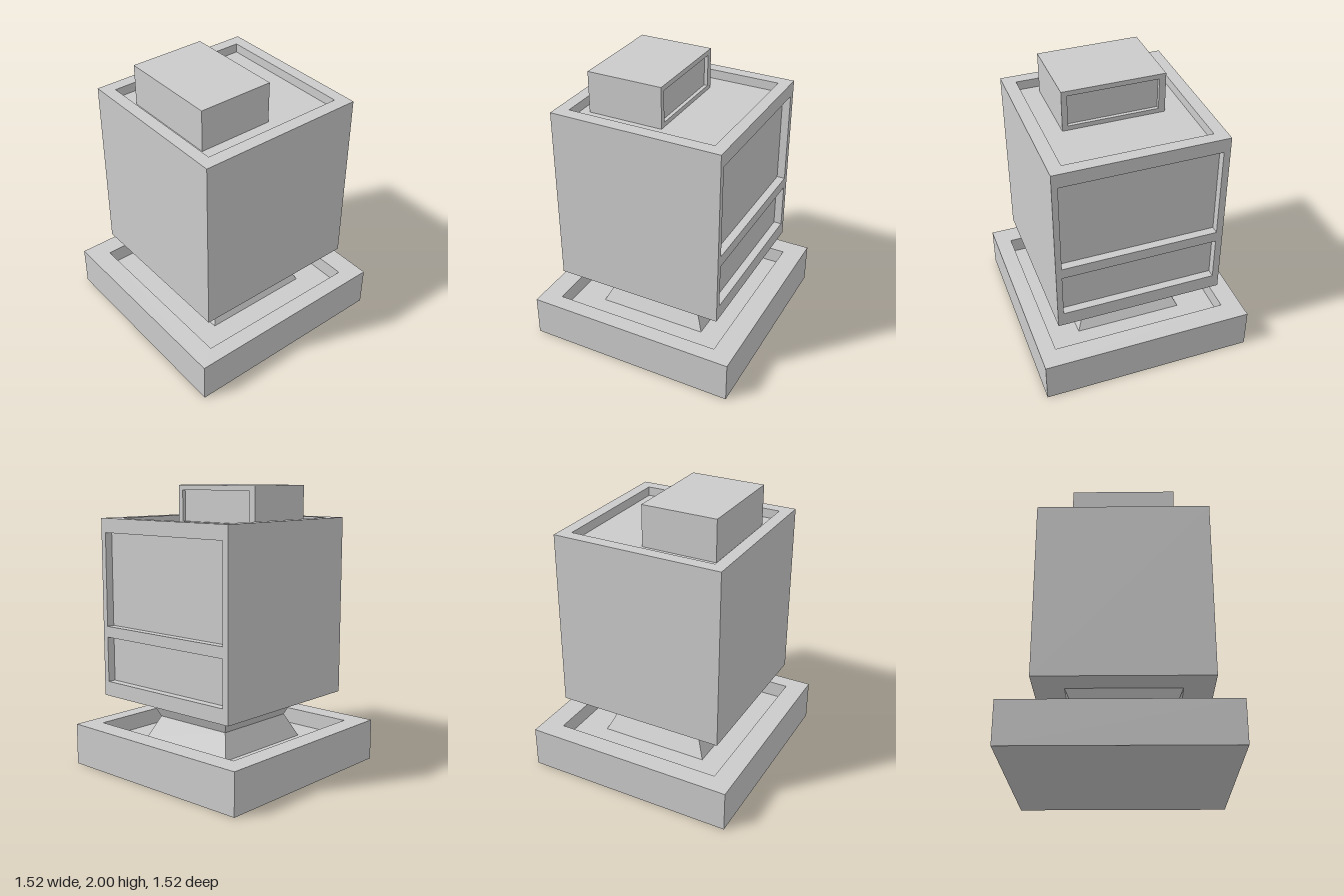
import * as THREE from 'three';
import { mergeGeometries } from 'three/addons/utils/BufferGeometryUtils.js';

const H = Math.PI / 2;
const material = new THREE.MeshStandardMaterial({ color: 0xcccccc, flatShading: true });

// Flat rectangle [u0, v0, u1, v1] at height w, with rectangular pockets [u0, v0, u1, v1, depth]
function pocketedFace([u0, v0, u1, v1], w, pockets = []) {
  const rect = (T, a, b, c, d) => new T([[a, b], [c, b], [c, d], [a, d]].map(p => new THREE.Vector2(...p)));
  const shape = rect(THREE.Shape, u0, v0, u1, v1);
  const parts = [];
  for (const [a, b, c, d, depth] of pockets) {
    shape.holes.push(rect(THREE.Path, a, b, c, d));
    const cu = (a + c) / 2, cv = (b + d) / 2, pw = c - a, ph = d - b, mid = -depth / 2;
    parts.push(
      new THREE.PlaneGeometry(pw, ph).translate(cu, cv, -depth),
      new THREE.PlaneGeometry(depth, ph).rotateY(H).translate(a, cv, mid),
      new THREE.PlaneGeometry(depth, ph).rotateY(-H).translate(c, cv, mid),
      new THREE.PlaneGeometry(pw, depth).rotateX(-H).translate(cu, b, mid),
      new THREE.PlaneGeometry(pw, depth).rotateX(H).translate(cu, d, mid)
    );
  }
  parts.push(new THREE.ShapeGeometry(shape));
  return mergeGeometries(parts).translate(0, 0, w);
}

// Block between two corners; pockets use (x, -z) on the top and (-z, y) on the +x side
function pocketedBlock(name, [x0, y0, z0], [x1, y1, z1], { top, side } = {}) {
  const geometry = mergeGeometries([
    pocketedFace([x0, y0, x1, y1], z1),
    pocketedFace([-x1, y0, -x0, y1], -z0).rotateY(Math.PI),
    pocketedFace([-z1, y0, -z0, y1], x1, side).rotateY(H),
    pocketedFace([z0, y0, z1, y1], -x0).rotateY(-H),
    pocketedFace([x0, -z1, x1, -z0], y1, top).rotateX(-H),
    pocketedFace([x0, z0, x1, z1], -y0).rotateX(H)
  ]);
  const mesh = new THREE.Mesh(geometry, material);
  mesh.name = name;
  return mesh;
}

// Four-sided tapered collar, given half widths along x
function collar(name, topHalf, bottomHalf, y0, y1) {
  const r = Math.SQRT2;
  const geometry = new THREE.CylinderGeometry(topHalf * r, bottomHalf * r, y1 - y0, 4, 1, true)
    .rotateY(Math.PI / 4).scale(1, 1, 0.975).translate(0.002, (y0 + y1) / 2, 0.022);
  const mesh = new THREE.Mesh(geometry, material);
  mesh.name = name;
  return mesh;
}

export function createModel() {
  const group = new THREE.Group();
  group.name = 'blockFigure';

  // Square plinth with a sunken tray
  group.add(pocketedBlock('base', [-0.76, 0, -0.76], [0.76, 0.295, 0.76], {
    top: [[-0.615, -0.645, 0.61, 0.62, 0.115]]
  }));

  // Hourglass neck
  group.add(collar('neckLower', 0.32, 0.398, 0.18, 0.345));
  group.add(collar('neckUpper', 0.398, 0.32, 0.345, 0.51));

  // Main body: sunken top and two recessed panels on one side
  group.add(pocketedBlock('body', [-0.605, 0.51, -0.573], [0.608, 1.775, 0.613], {
    top: [[-0.52, -0.522, 0.525, 0.486, 0.065]],
    side: [[-0.572, 1.015, 0.526, 1.675, 0.057], [-0.572, 0.615, 0.526, 0.937, 0.057]]
  }));

  // Small cap block standing in the sunken top
  group.add(pocketedBlock('cap', [-0.457, 1.71, -0.338], [0.08, 2, 0.377], {
    side: [[-0.338, 1.742, 0.292, 1.965, 0.026]]
  }));

  return group;
}
